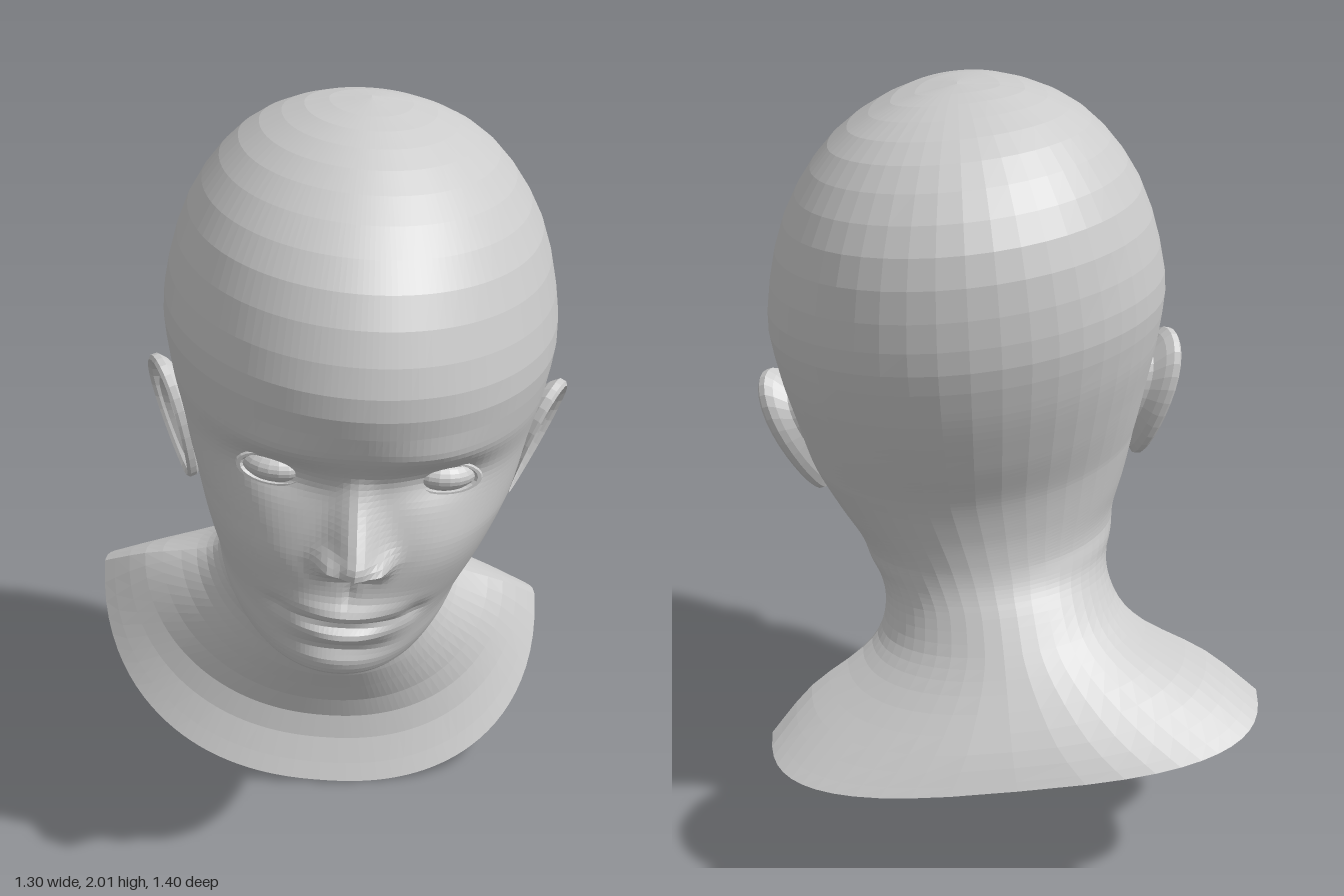
import * as THREE from 'three';

const ROLL = 0.085, YAW = 0.05; // slight tilt and turn of the head
const mat = () => new THREE.MeshStandardMaterial({ color: 0xcccccc, flatShading: true, side: THREE.DoubleSide });
const gauss = (d, w) => Math.exp(-(d * d) / (w * w));
const clamp = THREE.MathUtils.clamp;
const tilt = (cx, dx, y, z, yaw = YAW) => [cx + dx, y - ROLL * dx, z - yaw * dx];

// Cross-sections from crown to collar: front y,z | side y | back y,z | half width
const SECTIONS = [
  [2.0, -0.03, 2.0, 2.0, -0.03, 0],
  [1.98, 0.18, 1.972, 1.98, -0.18, 0.17],
  [1.885, 0.38, 1.88, 1.885, -0.375, 0.335],
  [1.71, 0.58, 1.7, 1.7, -0.525, 0.46],
  [1.48, 0.67, 1.47, 1.47, -0.555, 0.515],
  [1.32, 0.638, 1.32, 1.3, -0.525, 0.5],
  [1.2, 0.578, 1.18, 1.13, -0.465, 0.465],
  [1.05, 0.585, 1.05, 1.0, -0.41, 0.43],
  [0.9, 0.585, 0.93, 0.9, -0.39, 0.385],
  [0.78, 0.57, 0.84, 0.83, -0.39, 0.345],
  [0.69, 0.56, 0.765, 0.78, -0.4, 0.325],
  [0.64, 0.51, 0.72, 0.74, -0.42, 0.305],
  [0.605, 0.29, 0.665, 0.7, -0.45, 0.298],
  [0.5, 0.13, 0.605, 0.62, -0.505, 0.318],
  [0.36, 0.06, 0.56, 0.54, -0.56, 0.375],
  [0.18, -0.02, 0.495, 0.42, -0.645, 0.52],
  [0.0, 0.04, 0.415, 0.335, -0.695, 0.635],
];
const FACE_TOP = 4, FACE_END = 11;

// Smooth interpolation between cross-sections
function section(k, t) {
  const at = i => SECTIONS[clamp(i, 0, SECTIONS.length - 1)];
  const [a, b, c, d] = [at(k - 1), at(k), at(k + 1), at(k + 2)];
  return b.map((v, i) => {
    const m0 = (c[i] - a[i]) / 2, m1 = (d[i] - v) / 2, t2 = t * t, t3 = t2 * t;
    return (2 * t3 - 3 * t2 + 1) * v + (t3 - 2 * t2 + t) * m0 + (3 * t2 - 2 * t3) * c[i] + (t3 - t2) * m1;
  });
}

// Forward relief of the face at offset x from the centre line and height y
function relief(x, y) {
  const ax = Math.abs(x);
  // nose: bridge growing to a tip, cut off underneath, with wings
  const grow = clamp((1.23 - y) / 0.2, 0, 1) * clamp((y - 0.945) / 0.06, 0, 1);
  let z = 0.115 * grow ** 1.2 * gauss(x, 0.038 + 0.024 * grow);
  z += 0.045 * gauss(ax - 0.068, 0.028) * gauss(y - 1.0, 0.032);
  // brows, eye sockets and cheeks
  z += 0.015 * gauss(ax - 0.2, 0.13) * gauss(y - 1.3, 0.045);
  z -= 0.035 * gauss(ax - 0.2, 0.1) * gauss(y - 1.21, 0.055);
  z += 0.022 * gauss(ax - 0.24, 0.12) * gauss(y - 0.99, 0.1);
  // lips, mouth line, corners, philtrum and chin
  const lip = gauss(x, 0.12), line = 0.815 + 0.6 * x * x;
  z += lip * (0.03 * gauss(y - line - 0.033, 0.03) + 0.026 * gauss(y - line + 0.034, 0.026));
  z -= 0.018 * gauss(x, 0.13) * gauss(y - line, 0.014);
  z -= 0.012 * gauss(ax - 0.175, 0.03) * gauss(y - 0.835, 0.03);
  z -= 0.008 * gauss(x, 0.015) * gauss(y - 0.91, 0.03);
  z -= 0.02 * gauss(x, 0.12) * gauss(y - 0.735, 0.028);
  return z;
}

// Grid of closed rings turned into an indexed geometry
function loft(rings) {
  const n = rings[0].length, index = [];
  for (let i = 0; i < rings.length - 1; i++) {
    for (let j = 0; j < n; j++) {
      const a = i * n + j, b = i * n + (j + 1) % n;
      index.push(a, a + n, b, b, a + n, b + n);
    }
  }
  const geo = new THREE.BufferGeometry();
  geo.setAttribute('position', new THREE.Float32BufferAttribute(rings.flat(2), 3));
  geo.setIndex(index);
  geo.computeVertexNormals();
  return geo;
}

// One ring of the skin; columns are finer at the face
function skinRing([yf, zf, ys, yb, zb, w], isFace) {
  const half = 44, pts = [];
  const zs = -0.05 - 1.15 * Math.max(0, 0.8 - ys) ** 1.2;              // neck leans back
  const cx = Math.min(0.155 * ys - 0.079, 0.042 + 0.039 * ys);         // head leans sideways
  const collar = clamp((0.6 - ys) / 0.185, 0, 1);
  const nFront = 2 + 0.3 * collar + 0.32 * gauss(ys - 1.05, 0.25);      // squareness
  const nBack = 2 + 0.9 * collar;
  for (let j = 0; j < half * 2; j++) {
    const t = (j <= half ? j : j - 2 * half) / half;
    const a = Math.PI * (0.42 * t + 0.58 * t ** 3);
    const s = Math.sin(a), c = Math.cos(a), n = c > 0 ? nFront : nBack;
    const x = w * Math.sign(s) * Math.abs(s) ** (2 / n), u = Math.abs(c) ** (2 / n);
    const [ye, ze] = c > 0 ? [yf, zf] : [yb, zb];
    const y = ys + (ye - ys) * u ** (1.3 - 0.25 * collar);
    let z = zs + (ze - zs) * u;
    if (c > 0 && isFace) z += relief(x, y) * Math.min(1, c * 2);
    pts.push(tilt(cx, x, y, z, YAW * clamp((y - 0.5) / 0.3, 0, 1)));
  }
  return pts;
}

// Skull, face, neck and collar as one skin; rows are finer at the face
function skin() {
  const rings = [], last = SECTIONS.length - 1;
  for (let k = 0; k < last; k++) {
    const isFace = k >= FACE_TOP && k < FACE_END;
    const fine = isFace && k > FACE_TOP;
    const steps = fine ? Math.ceil((SECTIONS[k][0] - SECTIONS[k + 1][0]) / 0.016) : 3;
    for (let i = 0; i < steps; i++) rings.push(skinRing(section(k, i / steps), isFace));
  }
  rings.push(skinRing(SECTIONS[last], false));
  return loft(rings);
}

// Ear: shell, inner fold, rolled rim and back; pairs are radius and outward height
function ear() {
  const steps = [[0.02, -0.03], [0.35, -0.032], [0.5, -0.005], [0.62, 0.008], [0.74, 0], [0.82, -0.008],
    [0.88, 0.012], [0.95, 0.02], [1, 0.012], [1, -0.005], [0.9, -0.022], [0.68, -0.045], [0.55, -0.11]];
  const n = 28;
  return loft(steps.map(([r, h]) => Array.from({ length: n }, (_, j) => {
    const a = (j / n) * Math.PI * 2, q = Math.sin(a);
    const width = 0.082 + 0.026 * q;
    return [h, 0.182 * r * q, -width * r * Math.cos(a)];
  })));
}

export function createModel() {
  const model = new THREE.Group();
  model.name = 'headBust';
  const add = (parent, name, geo) => {
    const mesh = new THREE.Mesh(geo, mat());
    mesh.name = name;
    parent.add(mesh);
    return mesh;
  };
  add(model, 'headAndNeck', skin());

  for (const [side, s] of [['left', 1], ['right', -1]]) {
    // eyeball with a thin lid rim
    const eye = new THREE.Group();
    eye.name = side + 'Eye';
    eye.position.set(...tilt(0.09, s * 0.205, 1.208, 0.46));
    eye.rotation.set(0, s * 0.25, -ROLL);
    add(eye, 'eyeball', new THREE.SphereGeometry(1, 20, 14).scale(0.088, 0.045, 0.078));
    add(eye, 'eyelids', new THREE.TorusGeometry(0.084, 0.01, 6, 24).scale(1, 0.48, 1)).position.z = 0.045;
    model.add(eye);

    // ear leaning outward at the top and back, its hollow facing forward
    const group = new THREE.Group();
    group.name = side + 'Ear';
    group.position.set(...tilt(0.08, s * 0.475, 1.1, 0.0));
    group.rotation.set(0, -s * 0.4, -ROLL - s * 0.33, 'ZYX');
    group.scale.x = s;
    add(group, 'earShell', ear());
    add(group, 'tragus', new THREE.SphereGeometry(1, 8, 6).scale(0.015, 0.03, 0.018)).position.set(-0.005, -0.04, 0.055);
    model.add(group);
  }
  return model;
}
